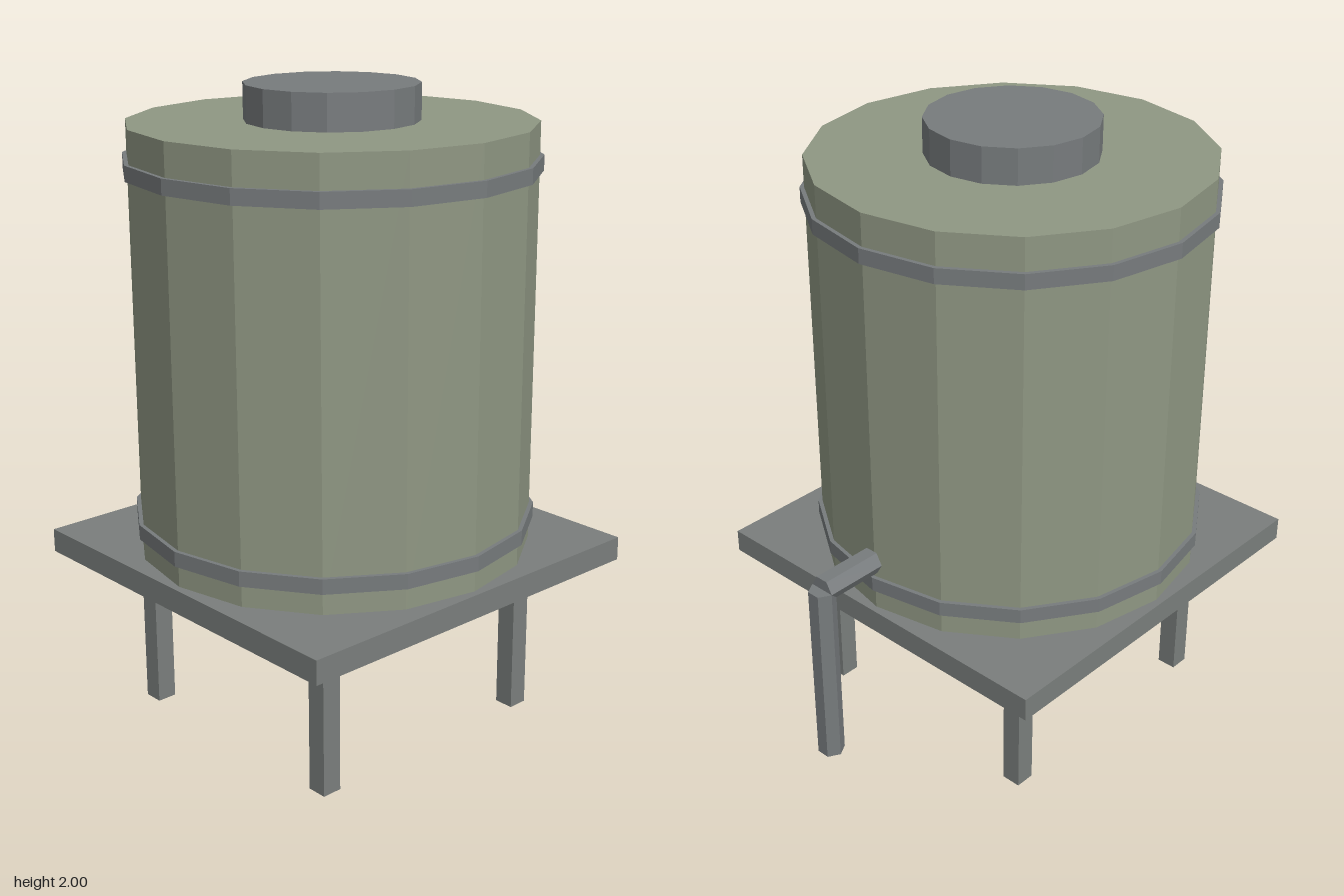
import * as THREE from 'three';

export function createModel() {
  const root = new THREE.Group();
  root.name = 'waterTank';

  const paint = (name, color) => {
    const m = new THREE.MeshStandardMaterial({ color, flatShading: true });
    m.name = name;
    return m;
  };
  const tankGreen = paint('tankGreen', 0x8f9783);
  const frameGrey = paint('frameGrey', 0x7a7e7c);
  const metalGrey = paint('metalGrey', 0x777b7d);

  const add = (parent, name, geometry, material, x, y, z) => {
    const mesh = new THREE.Mesh(geometry, material);
    mesh.name = name;
    mesh.position.set(x, y, z);
    parent.add(mesh);
    return mesh;
  };
  // Upright prism between two heights
  const drum = (parent, name, r, y0, y1, sides, material, x = 0) =>
    add(parent, name, new THREE.CylinderGeometry(r, r, y1 - y0, sides), material, x, (y0 + y1) / 2, 0);

  // Tank and stand share an axis set off to make room for the pipe
  const body = new THREE.Group();
  body.name = 'tankOnStand';
  body.position.x = -0.115;
  root.add(body);

  // Stand: four legs and a square platform
  for (const sx of [-1, 1]) {
    for (const sz of [-1, 1]) {
      add(body, 'leg', new THREE.BoxGeometry(0.064, 0.505, 0.064), frameGrey, sx * 0.405, 0.2525, sz * 0.405);
    }
  }
  add(body, 'platform', new THREE.BoxGeometry(1.27, 0.075, 1.27), frameGrey, 0, 0.5425, 0);

  // Tank, hoops and lid
  drum(body, 'tank', 0.613, 0.58, 1.89, 16, tankGreen);
  drum(body, 'lowerHoop', 0.626, 0.648, 0.695, 16, metalGrey);
  drum(body, 'upperHoop', 0.626, 1.743, 1.79, 16, metalGrey);
  drum(body, 'lid', 0.263, 1.89, 2, 16, metalGrey);

  // Outlet pipe: short run out from the tank, then a drop
  const outlet = add(root, 'outletPipe', new THREE.CylinderGeometry(0.042, 0.042, 0.204, 6), metalGrey, 0.61, 0.758, 0);
  outlet.rotation.z = Math.PI / 2;
  drum(root, 'downPipe', 0.042, 0.147, 0.758, 6, metalGrey, 0.7125);

  return root;
}
